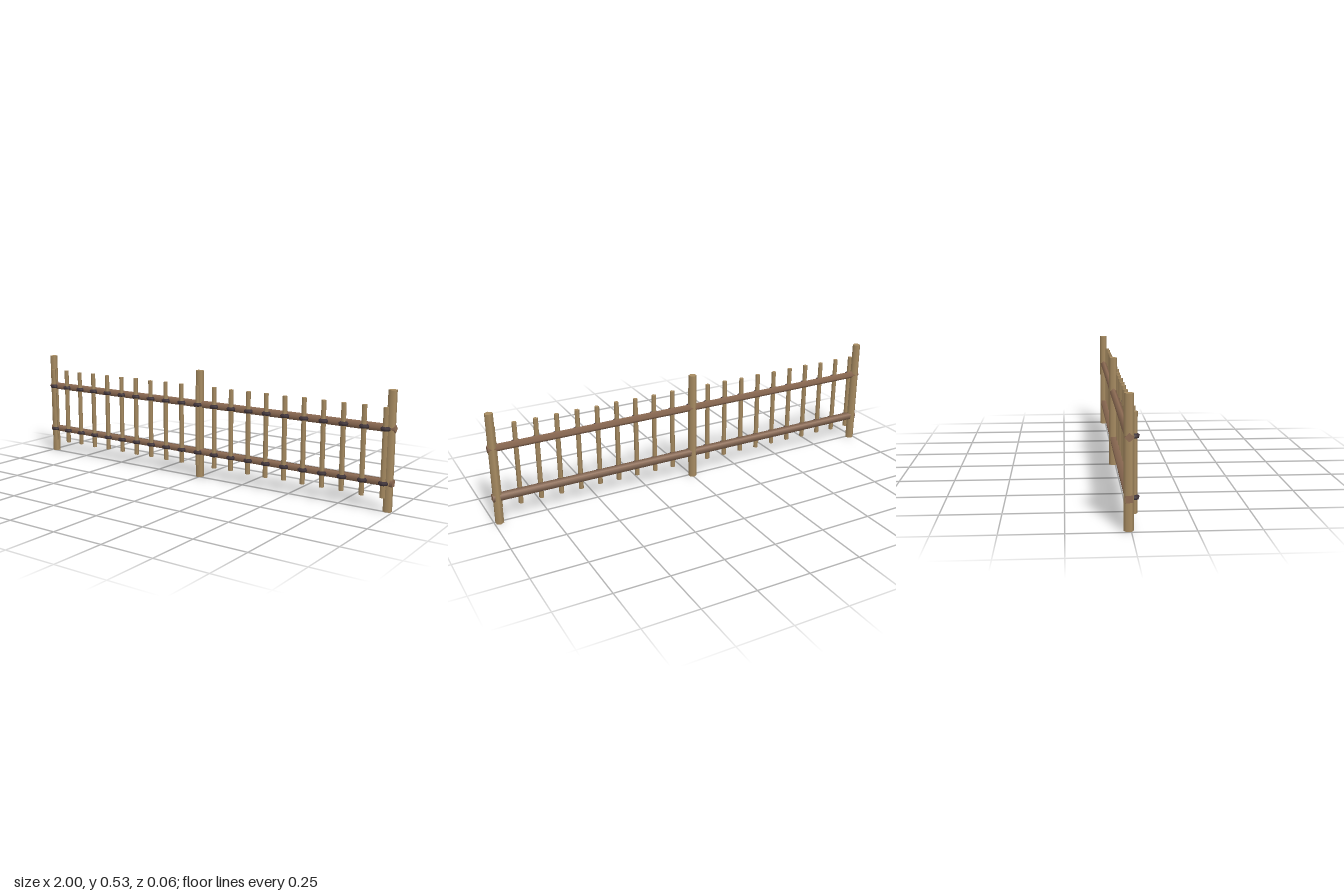
import * as THREE from 'three';

const make = (name, color) => {
  const m = new THREE.MeshStandardMaterial({ color });
  m.name = name;
  return m;
};

export function createModel() {
  const fence = new THREE.Group();
  fence.name = 'fence';
  const wood = make('tan wood', 0xa88c62);
  const railWood = make('brown rail wood', 0x8e6c54);
  const rope = make('dark rope', 0x40343a);

  const add = (name, geometry, material, x, y, z) => {
    const mesh = new THREE.Mesh(geometry, material);
    mesh.name = name;
    mesh.position.set(x, y, z);
    fence.add(mesh);
    return mesh;
  };

  // Upright posts, six-sided
  const postGeometry = new THREE.CylinderGeometry(0.019, 0.02, 0.527, 6);
  for (const x of [-0.98, -0.003, 0.976]) add('post', postGeometry, wood, x, 0.2635, -0.01);

  // Two four-sided rails running through the posts
  const rails = [
    { y: 0.363, radius: 0.018, turn: 0 },
    { y: 0.127, radius: 0.02, turn: Math.PI / 4 + 0.08 },
  ];
  for (const { y, radius, turn } of rails) {
    const geometry = new THREE.CylinderGeometry(radius, radius, 1.996, 4, 1, false, turn);
    geometry.rotateZ(Math.PI / 2);
    add('rail', geometry, railWood, 0, y, -0.009);
  }

  // Lashing bent around the front of a picket
  const bend = new THREE.CatmullRomCurve3([
    new THREE.Vector3(-0.014, 0, 0.004),
    new THREE.Vector3(-0.009, 0, 0.018),
    new THREE.Vector3(0.009, 0, 0.018),
    new THREE.Vector3(0.014, 0, 0.004),
  ]);
  const lashGeometry = new THREE.TubeGeometry(bend, 8, 0.0095, 5);

  // Thin pickets with slightly uneven lengths, lashed to both rails
  for (let i = 0; i < 21; i++) {
    const x = -0.962 + i * 0.0961;
    const uneven = 0.003 * Math.sin(i * 2.4);
    const geometry = new THREE.CylinderGeometry(0.0115, 0.012, 0.393 + uneven, 5);
    add('picket', geometry, wood, x, 0.259, 0.0125).rotation.y = i * 0.2;
    for (const { y } of rails) add('lashing', lashGeometry, rope, x, y, 0.003);
  }
  return fence;
}
